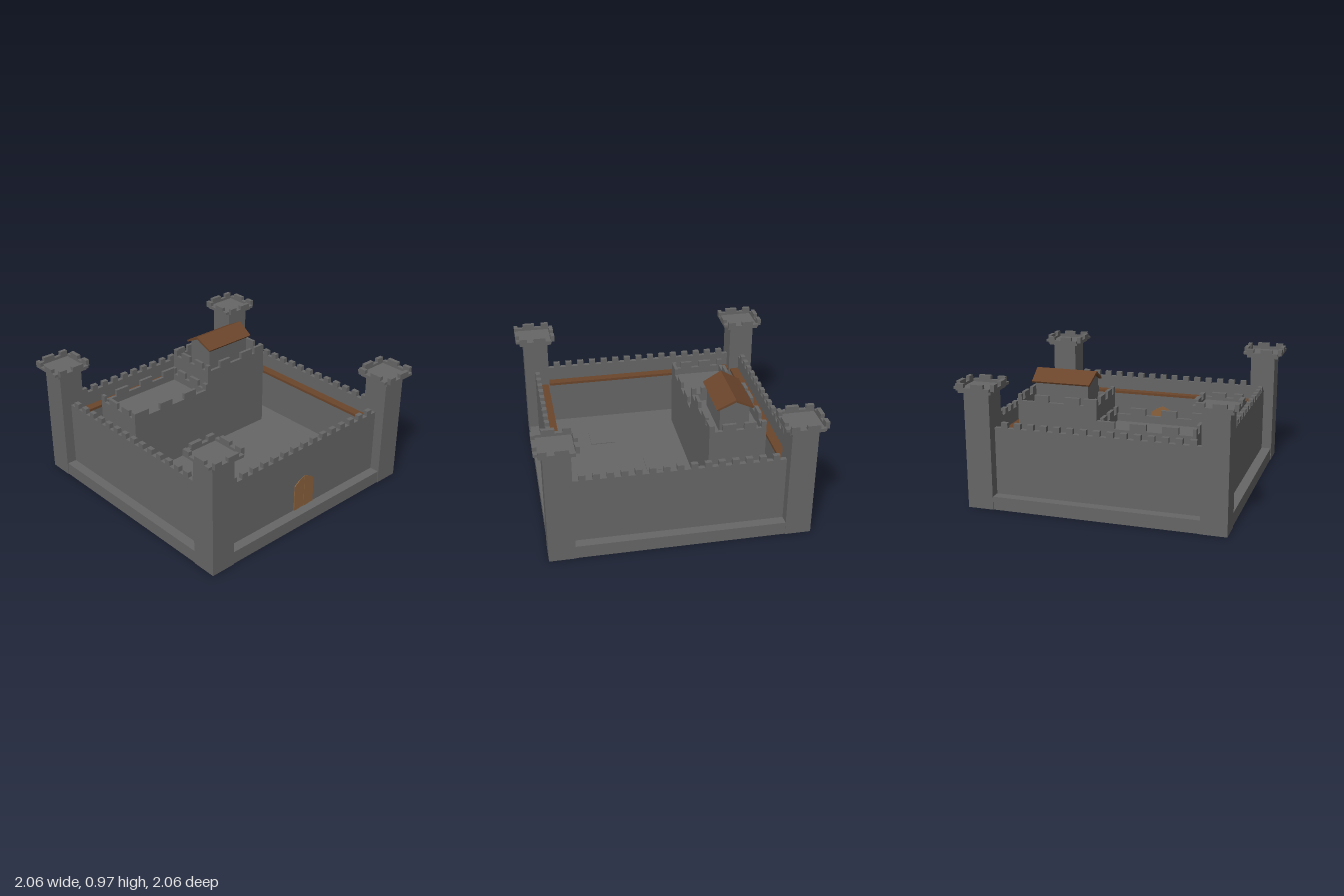
import * as THREE from 'three';

const material = (name, color) => {
  const m = new THREE.MeshStandardMaterial({ color });
  m.name = name;
  return m;
};

export function createModel() {
  const stone = material('stone', 0x666666);
  const timber = material('timber', 0x6b452b);
  const doorWood = material('doorWood', 0x8a623c);
  const castle = new THREE.Group();
  castle.name = 'castle';

  const group = (name, parent = castle) => {
    const g = new THREE.Group();
    g.name = name;
    parent.add(g);
    return g;
  };
  // Box given by its lower and upper limits on each axis
  const box = (parent, name, mat, x0, x1, y0, y1, z0, z1) => {
    const mesh = new THREE.Mesh(new THREE.BoxGeometry(x1 - x0, y1 - y0, z1 - z0), mat);
    mesh.position.set((x0 + x1) / 2, (y0 + y1) / 2, (z0 + z1) / 2);
    mesh.name = name;
    parent.add(mesh);
    return mesh;
  };
  // Outline in the xy plane, extruded along z
  const slab = (parent, name, mat, points, z0, z1) => {
    const shape = new THREE.Shape(points.map(([x, y]) => new THREE.Vector2(x, y)));
    const geo = new THREE.ExtrudeGeometry(shape, { depth: z1 - z0, bevelEnabled: false });
    const mesh = new THREE.Mesh(geo, mat);
    mesh.position.z = z0;
    mesh.name = name;
    parent.add(mesh);
    return mesh;
  };
  // Parapet side with raised merlons at the given [start, end] spans
  const parapetSide = (parent, len, y0, yGap, yTop, thick, spans) => {
    const pts = [[0, y0], [len, y0], [len, yGap]];
    for (const [a, b] of [...spans].reverse()) {
      if (b < len) pts.push([b, yGap]);
      pts.push([b, yTop], [a, yTop]);
      if (a > 0) pts.push([a, yGap]);
    }
    if (spans[0][0] > 0) pts.push([0, yGap]);
    return slab(parent, 'parapet', stone, pts, -thick, 0);
  };

  // Base and courtyard paving
  box(castle, 'base', stone, -0.965, 0.965, 0, 0.1, -0.965, 0.965);
  box(castle, 'centrePaving', stone, -0.1, 0.1, 0.1, 0.106, -0.1, 0.1);
  box(castle, 'sidePaving', stone, -0.58, -0.385, 0.1, 0.106, 0.29, 0.485);

  // Four curtain walls with merlons and an inner timber walkway
  for (let side = 0; side < 4; side++) {
    const wall = group('curtainWall');
    wall.rotation.y = side * Math.PI / 2;
    box(wall, 'wall', stone, -0.775, 0.775, 0.1, 0.605, 0.855, 0.89);
    for (let i = -7; i <= 7; i++) {
      box(wall, 'merlon', stone, i * 0.1 - 0.025, i * 0.1 + 0.025, 0.605, 0.645, 0.855, 0.89);
    }
    box(wall, 'walkway', timber, -0.775, 0.775, 0.475, 0.495, 0.785, 0.855);
  }

  // Corner towers with an overhanging crenellated cap
  for (const sx of [-1, 1]) for (const sz of [-1, 1]) {
    const tower = group('cornerTower');
    tower.position.set(sx * 0.8725, 0, sz * 0.8725);
    box(tower, 'shaft', stone, -0.0975, 0.0975, 0, 0.88, -0.0975, 0.0975);
    box(tower, 'platform', stone, -0.1275, 0.1275, 0.875, 0.9, -0.1275, 0.1275);
    for (let i = 0; i < 4; i++) {
      const edge = group('capSide', tower);
      edge.rotation.y = i * Math.PI / 2;
      const p = parapetSide(edge, 0.255, 0.9, 0.92, 0.95, 0.03, [[0, 0.06], [0.115, 0.21]]);
      p.position.set(-0.1275, 0, 0.1275);
    }
  }

  // Keep: two blocks with a sunken roof behind crenellated parapets
  const keep = group('keep');
  const keepBlock = (name, x0, x1, floor, gap, top, front, ends) => {
    const block = group(name, keep);
    const z0 = -0.675, z1 = -0.25, w = x1 - x0, d = z1 - z0;
    box(block, 'body', stone, x0, x1, 0.1, floor, z0, z1);
    [[x0, z1, w, front], [x1, z1, d, ends], [x1, z0, w, front], [x0, z0, d, ends]]
      .forEach(([x, z, len, spans], i) => {
        const edge = group('parapetSide', block);
        edge.position.set(x, 0, z);
        edge.rotation.y = i * Math.PI / 2;
        parapetSide(edge, len, floor, gap, top, 0.025, spans);
      });
  };
  const keepEnds = [[0, 0.04], [0.1, 0.2], [0.26, 0.35], [0.39, 0.425]];
  keepBlock('lowKeep', -0.67, 0.07, 0.55, 0.605, 0.655,
    [[0, 0.135], [0.25, 0.37], [0.49, 0.61], [0.715, 0.74]], keepEnds);
  keepBlock('highKeep', 0.07, 0.68, 0.7, 0.76, 0.81,
    [[0, 0.03], [0.13, 0.24], [0.36, 0.48], [0.51, 0.61]], keepEnds);

  // Rooftop house with gabled walls and a pitched timber roof
  const house = group('rooftopHouse', keep);
  house.position.set(0.375, 0, -0.46);
  const along = group('gabledHouse', house);
  along.rotation.y = Math.PI / 2;
  slab(along, 'houseWalls', stone,
    [[-0.11, 0.7], [0.11, 0.7], [0.11, 0.895], [0, 0.95], [-0.11, 0.895]], -0.203, 0.203);
  const roof = slab(along, 'roof', timber,
    [[-0.14, 0.895], [-0.133, 0.883], [0, 0.95], [0.133, 0.883], [0.14, 0.895], [0, 0.97]], -0.235, 0.235);
  // Draw the eaves in slightly from the ridge ends
  const pos = roof.geometry.attributes.position;
  for (let i = 0; i < pos.count; i++) {
    const inset = 0.012 * Math.abs(pos.getX(i)) / 0.14;
    pos.setZ(i, pos.getZ(i) + (pos.getZ(i) > 0.2 ? -inset : inset));
  }
  roof.geometry.computeVertexNormals();

  // Pointed gate of planks, showing on both faces of the front wall
  const gate = group('gate');
  const archY = x => 0.365 - 0.3 * Math.abs(x) - 2.5 * x * x;
  const planks = [-0.1, -0.05, 0, 0.05, 0.1];
  for (let i = 0; i < 4; i++) {
    const a = planks[i], b = planks[i + 1], mid = (a + b) / 2;
    const out = i % 2 ? 0.004 : 0.007;
    slab(gate, 'gatePlank', doorWood,
      [[a, 0.1], [b, 0.1], [b, archY(b)], [mid, archY(mid)], [a, archY(a)]], 0.855 - out, 0.89 + out);
  }
  return castle;
}
